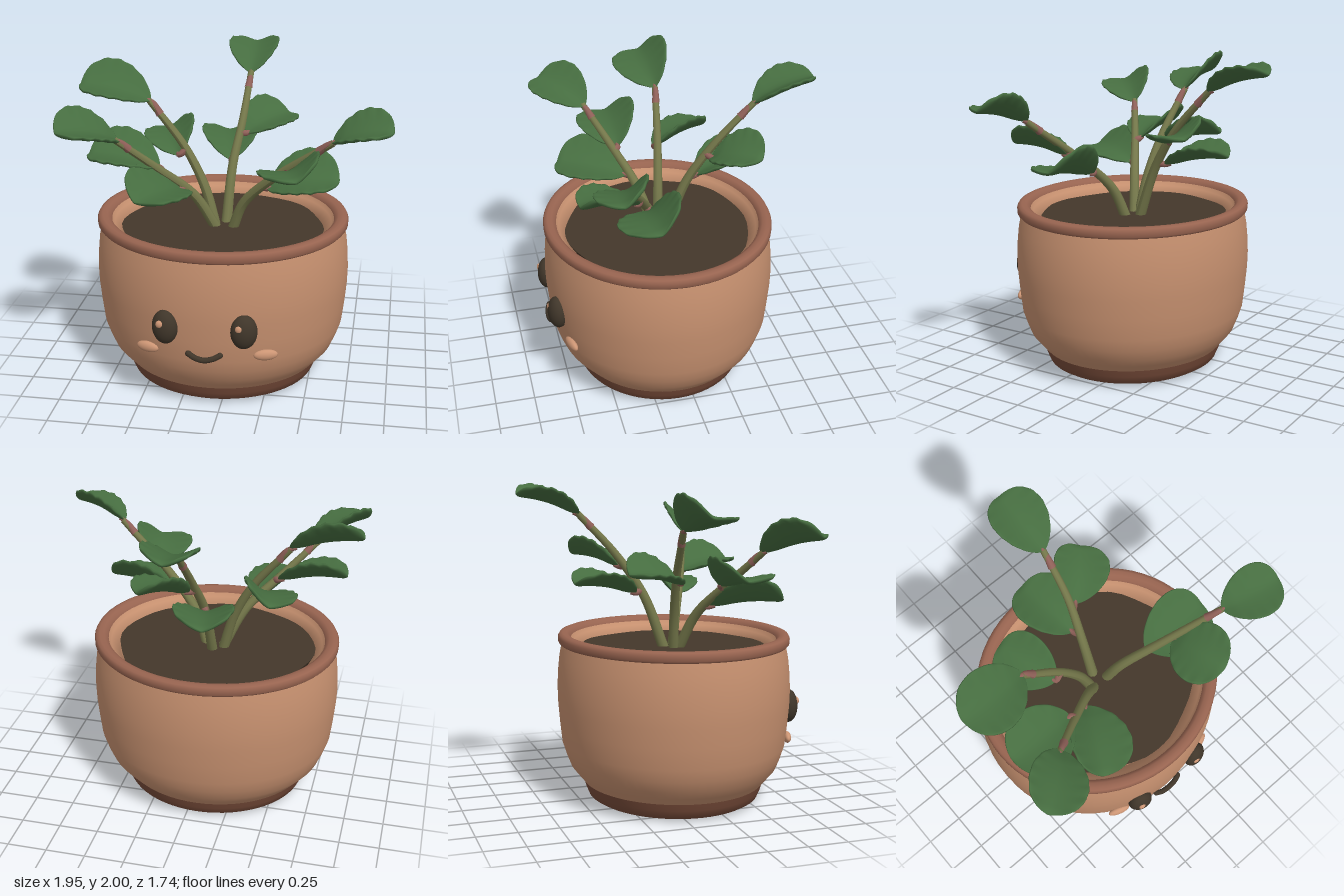
import * as THREE from 'three';

const mat = (name, color, side = THREE.FrontSide) => {
  const m = new THREE.MeshStandardMaterial({ color, side });
  m.name = name;
  return m;
};

const V = (a) => new THREE.Vector3(...a);

// Tube that tapers from radius r0 to r1 along its path
function taperedTube(path, r0, r1, segments) {
  const geo = new THREE.TubeGeometry(path, segments, 1, 10, false);
  const pos = geo.attributes.position, uv = geo.attributes.uv, p = new THREE.Vector3();
  for (let i = 0; i < pos.count; i++) {
    const t = uv.getX(i), c = path.getPointAt(t);
    p.fromBufferAttribute(pos, i).sub(c).multiplyScalar(r0 + (r1 - r0) * t).add(c);
    pos.setXYZ(i, p.x, p.y, p.z);
  }
  geo.computeVertexNormals();
  return geo;
}

// Cupped round leaf with a wavy rim, lofted from flat closed sections
function leafGeometry(base, tip, halfWidth, roll) {
  const f = tip.clone().sub(base), L = f.length();
  f.normalize();
  const s = new THREE.Vector3().crossVectors(f, new THREE.Vector3(0, 1, 0)).normalize().applyAxisAngle(f, roll);
  const n = new THREE.Vector3().crossVectors(s, f);
  const rings = 26, sides = 28, pos = [], idx = [];
  for (let i = 0; i <= rings; i++) {
    const t = (1 - Math.cos((Math.PI * i) / rings)) / 2;
    const w = 2.008 * Math.pow(t, 0.65) * Math.pow(1 - t, 0.4);
    for (let j = 0; j < sides; j++) {
      const a = (j / sides) * Math.PI * 2, u = Math.cos(a), sn = Math.sin(a);
      const edge = Math.pow(Math.abs(u), 4) * w;
      const wave = edge * Math.sin(t * 34 + (u > 0 ? 1 : 0)) * 0.006;
      const h = Math.sign(sn) * Math.sqrt(Math.abs(sn)) * 0.017 * Math.min(1, w * 1.5)
        + 0.42 * halfWidth * w * Math.pow(Math.abs(u), 1.5) + wave + 0.025 * Math.sin(Math.PI * t);
      const p = base.clone().addScaledVector(f, L * t)
        .addScaledVector(s, u * w * halfWidth).addScaledVector(n, h);
      pos.push(p.x, p.y, p.z);
      if (i < rings) {
        const k = i * sides + j, m = i * sides + ((j + 1) % sides);
        idx.push(k, m, k + sides, m, m + sides, k + sides);
      }
    }
  }
  const geo = new THREE.BufferGeometry();
  geo.setAttribute('position', new THREE.Float32BufferAttribute(pos, 3));
  geo.setIndex(idx);
  geo.computeVertexNormals();
  return geo;
}

export function createModel() {
  const model = new THREE.Group();
  const clay = mat('clay', 0xc6906f, THREE.DoubleSide);
  const rimClay = mat('rim clay', 0x986450, THREE.DoubleSide);
  const footClay = mat('foot clay', 0x774b39, THREE.DoubleSide);
  const soilMat = mat('soil', 0x44372a);
  const faceMat = mat('face dark', 0x40362a);
  const blush = mat('blush', 0xcc9574);
  const stemMat = mat('stem olive', 0x74774a);
  const pink = mat('petiole pink', 0x8f6058);
  const green = mat('leaf green', 0x466d40, THREE.DoubleSide);

  const add = (parent, name, geo, material, at = [0, 0, 0]) => {
    const mesh = new THREE.Mesh(geo, material);
    mesh.name = name;
    mesh.position.set(...at);
    parent.add(mesh);
    return mesh;
  };

  // Slightly oval pot
  const pot = new THREE.Group();
  pot.name = 'pot';
  pot.position.set(-0.072, 0, 0.104);
  pot.scale.z = 0.922;
  model.add(pot);
  const lathe = (pts) => new THREE.LatheGeometry(pts.map((p) => new THREE.Vector2(...p)), 64);
  add(pot, 'potBody', lathe([[0.62, 0.12], [0.66, 0.165], [0.708, 0.22], [0.738, 0.29], [0.765, 0.37],
    [0.78, 0.5], [0.791, 0.62], [0.794, 0.72], [0.789, 0.82], [0.778, 0.92], [0.76, 1.005]]), clay);
  add(pot, 'potInside', lathe([[0.7, 1.04], [0.68, 1.01], [0.625, 0.96], [0.615, 0.6], [0.55, 0.25],
    [0.45, 0.2], [0.17, 0.18], [0.155, 0.165], [0.155, 0.11]]), clay);
  add(pot, 'rim', lathe([[0.75, 1.0], [0.773, 1.002], [0.785, 1.015], [0.786, 1.045], [0.776, 1.063],
    [0.755, 1.07], [0.725, 1.066], [0.703, 1.052], [0.695, 1.03]]), rimClay);
  add(pot, 'foot', lathe([[0.155, 0.11], [0.18, 0.085], [0.24, 0.055], [0.32, 0.03], [0.42, 0.006], [0.49, 0],
    [0.55, 0.01], [0.585, 0.03], [0.605, 0.075], [0.62, 0.12]]), footClay);

  // Uneven soil disc
  const soil = new THREE.CylinderGeometry(0.632, 0.61, 0.05, 40);
  const sp = soil.attributes.position;
  for (let i = 0; i < sp.count; i++) {
    const a = Math.atan2(sp.getZ(i), sp.getX(i)), k = 1 + 0.012 * Math.sin(a * 5) + 0.01 * Math.cos(a * 8);
    sp.setX(i, sp.getX(i) * k);
    sp.setZ(i, sp.getZ(i) * k);
  }
  add(pot, 'soil', soil, soilMat, [0, 0.95, 0]);

  // Face
  const face = new THREE.Group();
  face.name = 'face';
  face.position.x = -0.07;
  model.add(face);
  const ball = new THREE.SphereGeometry(1, 28, 20);
  for (const side of [-1, 1]) {
    const eye = add(face, 'eye', ball, faceMat, [side * 0.235, 0.585, 0.806]);
    eye.scale.set(0.08, 0.107, 0.06);
    eye.rotation.y = side * 0.25;
    add(face, 'eyeHighlight', ball, blush, [side * 0.235 - 0.022, 0.62, 0.852]).scale.set(0.024, 0.024, 0.016);
    const cheek = add(face, 'cheek', ball, blush, [side * 0.357, 0.413, 0.744]);
    cheek.scale.set(0.073, 0.034, 0.025);
    cheek.rotation.y = side * 0.3;
  }
  const smile = new THREE.CatmullRomCurve3([[-0.095, 0.426, 0.82], [-0.055, 0.408, 0.834], [0, 0.397, 0.838],
    [0.055, 0.408, 0.834], [0.095, 0.426, 0.82]].map(V));
  add(face, 'mouth', new THREE.TubeGeometry(smile, 24, 0.018, 8), faceMat);
  for (const side of [-1, 1]) add(face, 'mouthEnd', ball, faceMat, [side * 0.095, 0.426, 0.82]).scale.setScalar(0.018);

  // Stems with leaves: [base, tip, half width, roll]; the first leaf ends the stem
  const plants = [
    { name: 'backStem',
      path: [[-0.06, 0.95, 0.05], [-0.04, 1.3, -0.08], [0, 1.56, -0.25], [0.02, 1.82, -0.49]],
      leaves: [[[0.02, 1.81, -0.48], [0.01, 1.94, -0.87], 0.167, -0.03],
        [[-0.06, 1.32, -0.14], [-0.13, 1.4, -0.55], 0.185, 0],
        [[0.03, 1.48, -0.22], [0.28, 1.56, -0.47], 0.175, 0.3]] },
    { name: 'leftStem',
      path: [[-0.12, 0.95, 0.09], [-0.19, 1.2, 0.07], [-0.32, 1.45, 0.04], [-0.55, 1.73, 0]],
      leaves: [[[-0.54, 1.73, 0], [-0.98, 1.83, 0.02], 0.19, -0.42],
        [[-0.36, 1.4, 0.06], [-0.48, 1.48, -0.31], 0.17, -0.35]] },
    { name: 'frontLeftStem',
      path: [[-0.11, 0.95, 0.12], [-0.24, 1.2, 0.2], [-0.44, 1.4, 0.32], [-0.66, 1.61, 0.46]],
      leaves: [[[-0.64, 1.6, 0.45], [-0.94, 1.71, 0.71], 0.175, -0.35],
        [[-0.3, 1.25, 0.25], [-0.5, 1.3, 0.67], 0.195, -0.35],
        [[-0.43, 1.39, 0.28], [-0.87, 1.46, 0.28], 0.2, -0.3]] },
    { name: 'rightStem',
      path: [[-0.01, 0.95, 0.12], [0.07, 1.15, 0.17], [0.27, 1.36, 0.27], [0.63, 1.64, 0.42]],
      leaves: [[[0.62, 1.64, 0.42], [0.97, 1.74, 0.51], 0.16, 0.35],
        [[0.22, 1.27, 0.22], [0.66, 1.35, 0.24], 0.205, 0.42],
        [[0.36, 1.4, 0.31], [0.44, 1.47, 0.67], 0.19, 0.3]] },
  ];
  for (const { name, path, leaves } of plants) {
    const plant = new THREE.Group();
    plant.name = name;
    model.add(plant);
    const curve = new THREE.CatmullRomCurve3(path.map(V));
    add(plant, 'stem', taperedTube(curve, 0.034, 0.02, 32), stemMat);
    leaves.forEach(([b, t, w, roll], i) => {
      const base = V(b), tip = V(t);
      add(plant, 'leaf', leafGeometry(base, tip, w, roll), green);
      // Petiole runs from the stem into the leaf base
      let start = curve.getPointAt(0.88);
      if (i > 0) {
        const points = curve.getPoints(40);
        start = points.reduce((p, q) => (q.distanceTo(base) < p.distanceTo(base) ? q : p));
      }
      const inner = base.clone().lerp(tip, 0.1);
      const link = new THREE.CatmullRomCurve3([start, base.clone().lerp(start, 0.1), inner]);
      add(plant, 'petiole', taperedTube(link, 0.026, 0.012, 10), pink);
    });
  }
  return model;
}
